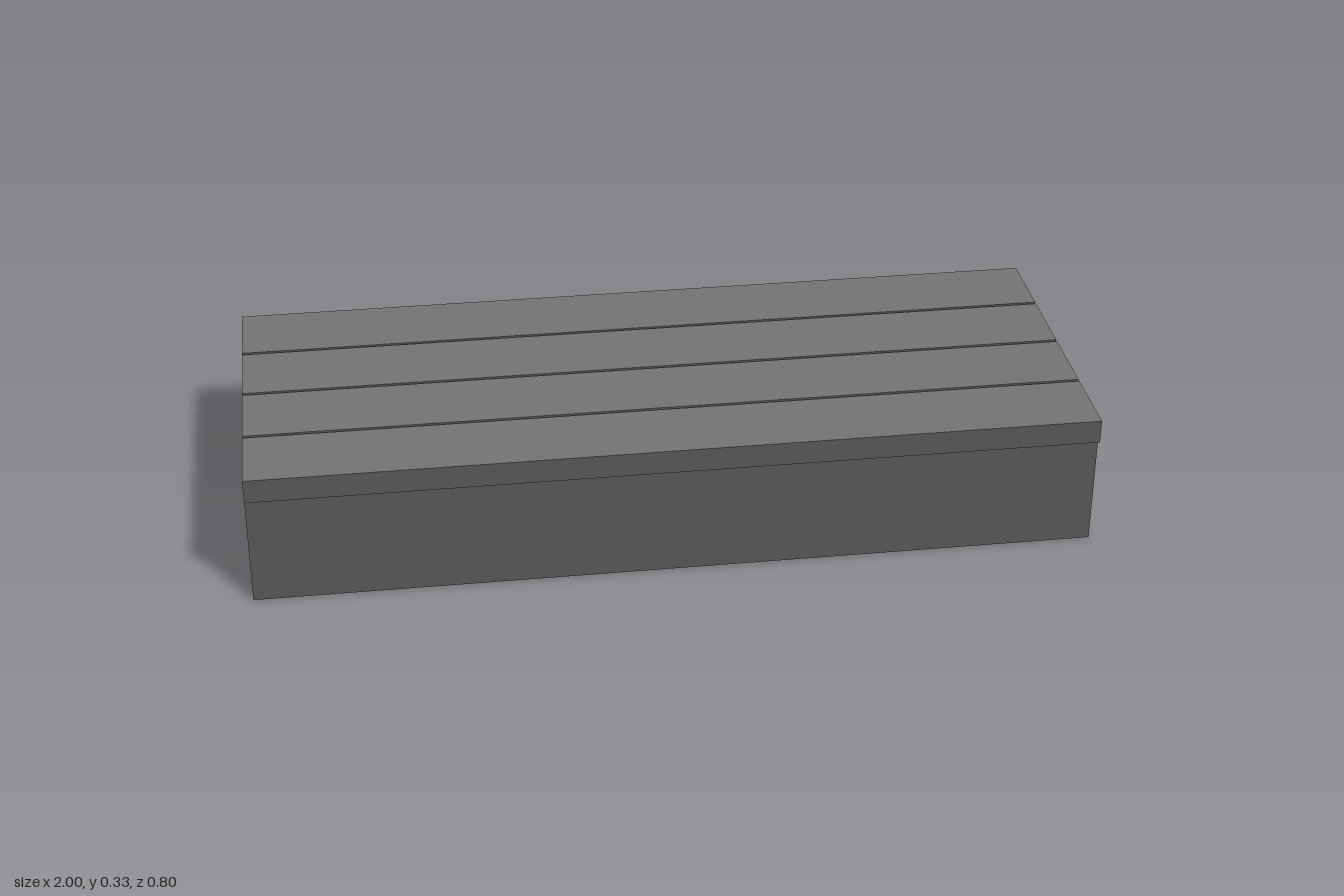
import * as THREE from 'three';

const dark = new THREE.MeshStandardMaterial({ color: 0x585859, flatShading: true });
const worn = new THREE.MeshStandardMaterial({ color: 0x737374, flatShading: true });

// Box faces in order +x, -x, +y, -y, +z, -z: planks are lighter on top
const plankFaces = [dark, dark, worn, dark, dark, dark];

// Box given by its [min, max] extent on each axis
function board(name, [x0, x1], [y0, y1], [z0, z1], material = dark) {
  const mesh = new THREE.Mesh(new THREE.BoxGeometry(x1 - x0, y1 - y0, z1 - z0), material);
  mesh.position.set((x0 + x1) / 2, (y0 + y1) / 2, (z0 + z1) / 2);
  mesh.name = name;
  return mesh;
}

export function createModel() {
  const group = new THREE.Group();
  group.name = 'slattedPlatform';
  const deckY = 0.275, topY = 0.333;

  // Four deck planks separated by narrow gaps
  const gap = 0.0085, width = (0.8 - 3 * gap) / 4;
  for (let i = 0; i < 4; i++) {
    const z = 0.4 - i * (width + gap);
    group.add(board(`deckPlank${i + 1}`, [-1, 1], [deckY, topY], [z - width, z], plankFaces));
  }

  // Long side boards, set slightly in from the deck edges
  group.add(board('frontBoard', [-1, 1], [0, deckY], [0.32, 0.385]));
  group.add(board('backBoard', [-1, 1], [0, deckY], [-0.375, -0.31]));

  // Thick cross beams between the side boards, inset from the ends
  group.add(board('leftCrossBeam', [0.76, 0.92], [0, deckY], [-0.31, 0.32]));
  group.add(board('rightCrossBeam', [-0.92, -0.76], [0, deckY], [-0.31, 0.32]));

  return group;
}
